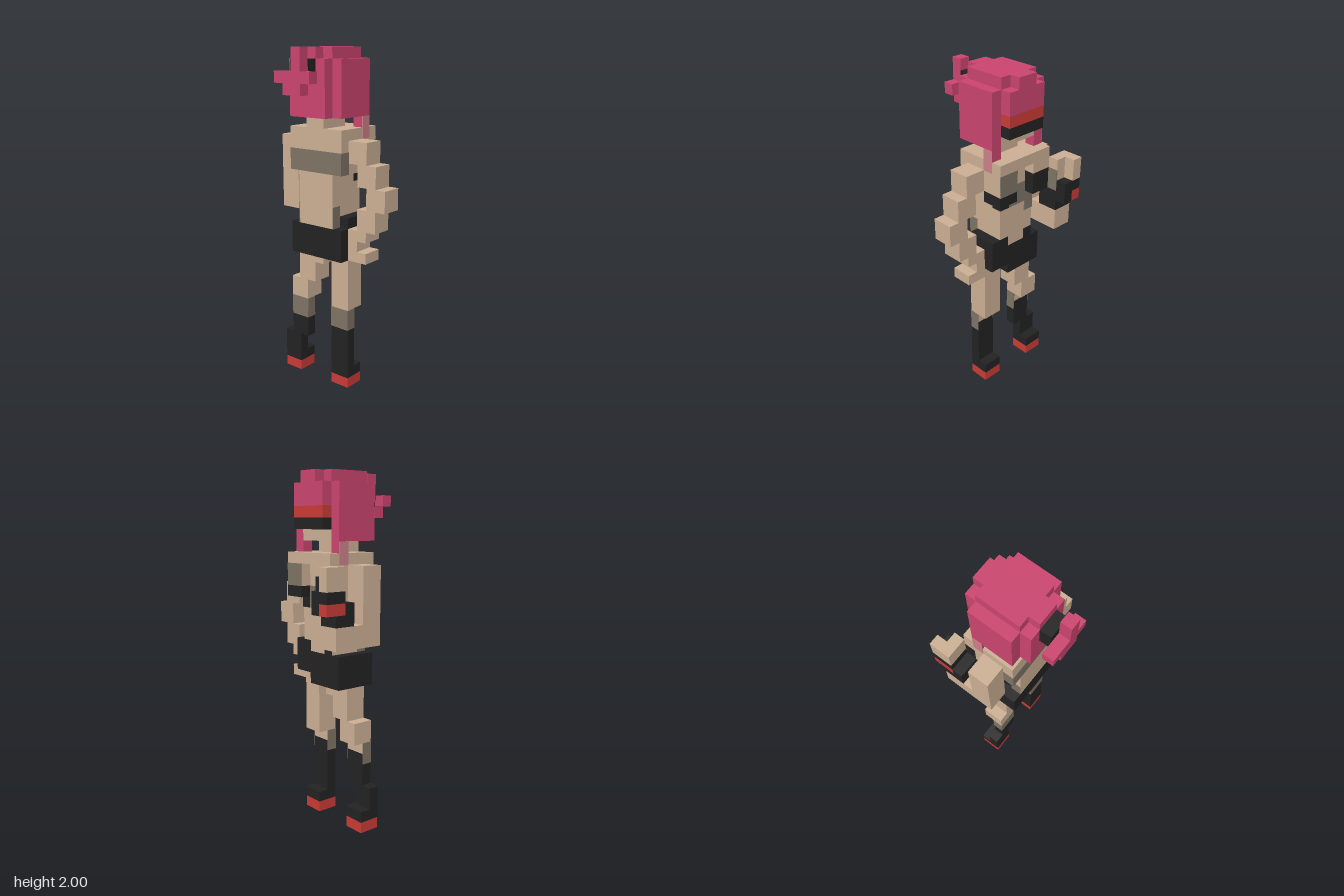
import * as THREE from 'three';

const U = 0.0625; // size of one block
const material = (name, color) => {
  const m = new THREE.MeshStandardMaterial({ color });
  m.name = name;
  return m;
};

export function createModel() {
  const skin = material('skin', 0xcaae93);
  const pink = material('hair pink', 0xc9446e);
  const black = material('black cloth', 0x222222);
  const red = material('red', 0xc83a36);
  const sheer = material('sheer grey', 0x7d7264);
  const pale = material('pale pink', 0xcb7f88);

  const model = new THREE.Group();
  model.name = 'figure';
  const part = (name) => {
    const g = new THREE.Group();
    g.name = name;
    model.add(g);
    return g;
  };
  // Box given by its ranges in blocks
  const box = (g, name, mat, [x0, x1], [y0, y1], [z0, z1]) => {
    const mesh = new THREE.Mesh(new THREE.BoxGeometry((x1 - x0) * U, (y1 - y0) * U, (z1 - z0) * U), mat);
    mesh.position.set((x0 + x1) / 2 * U, (y0 + y1) / 2 * U, (z0 + z1) / 2 * U);
    mesh.name = name;
    g.add(mesh);
  };
  const E = 0.04; // lift of thin painted plates

  // Straight leg
  const legA = part('straightLeg');
  box(legA, 'sole', red, [-1, 1], [0, 1], [0, 2]);
  box(legA, 'foot', black, [-1, 1], [1, 2], [0, 2]);
  box(legA, 'boot', black, [-1, 0], [2, 7], [0, 2]);
  box(legA, 'shin', skin, [-1, 0], [7, 8], [0, 2]);
  box(legA, 'thigh', skin, [-1, 1], [8, 14], [0, 2]);

  // Leg set out to the side
  const legB = part('outerLeg');
  box(legB, 'sole', red, [-1, 1], [0, 1], [-6, -4]);
  box(legB, 'foot', black, [-1, 1], [1, 2], [-6, -4]);
  box(legB, 'boot', black, [-1, 0], [2, 4], [-6, -4]);
  box(legB, 'bootTop', black, [-1, 0], [4, 7], [-5, -3]);
  box(legB, 'shin', skin, [-1, 0], [7, 8], [-5, -3]);
  box(legB, 'knee', skin, [-1, 1], [8, 10], [-5, -3]);
  box(legB, 'thigh', skin, [-1, 1], [10, 12], [-4, -2]);
  box(legB, 'upperThigh', skin, [-1, 1], [12, 13], [-4, -1]);

  // Sheer stocking tops on the sides and back of each shin
  for (const [g, z0, z1] of [[legA, 0, 2], [legB, -5, -3]]) {
    box(g, 'stockingSide', sheer, [-1, 0], [6, 8], [z1 - E, z1 + E]);
    box(g, 'stockingSide', sheer, [-1, 0], [6, 8], [z0 - E, z0 + E]);
    box(g, 'stockingBack', sheer, [-1 - E, -1 + E], [6, 8], [z0, z1]);
  }

  // Shorts
  const shorts = part('shorts');
  box(shorts, 'seat', black, [-2, 2], [13, 16], [-4, 0]);
  box(shorts, 'seatSide', black, [-2, 2], [14, 16], [0, 2]);
  box(shorts, 'hem', black, [-2, -1], [13, 14], [0, 2]);
  box(shorts, 'hem', black, [1, 1.9], [13.95, 14.5], [0, 2]);
  box(shorts, 'hip', black, [-1, 2], [16, 17], [0, 2]);
  box(shorts, 'hip', black, [-1, 2], [16, 17], [-3, -2]);

  // Torso
  const torso = part('torso');
  box(torso, 'waist', skin, [-2, 1.95], [16, 21], [-3, 1]);
  box(torso, 'chest', skin, [-2, 2], [21, 24], [-4, 2]);
  box(torso, 'shoulders', skin, [-2, 3], [24, 25], [-4, 2]);
  box(torso, 'bust', skin, [2, 3], [22, 24], [0, 2]);
  box(torso, 'bust', skin, [2, 3], [23, 24], [-4, -2]);
  box(torso, 'neck', skin, [-2, 1], [25, 26], [-2, 0]);

  // Top, with sheer bands
  const top = part('top');
  box(top, 'cup', black, [1, 3], [21, 22], [0, 2 + E]);
  box(top, 'cup', black, [2, 3], [21, 23], [-4, -2]);
  box(top, 'cupBase', black, [1, 2 + E], [20, 21], [0, 1 + E]);
  box(top, 'sheerCentre', sheer, [2 - E, 2 + E], [20, 22], [-2, 0]);
  box(top, 'sheerStrap', sheer, [2 - E, 2 + E], [19, 21], [-3, -2]);
  box(top, 'sheerCup', sheer, [3 - E, 3 + E], [22, 24], [0, 2]);
  box(top, 'backBand', sheer, [-2 - E, -2 + E], [21, 23], [-4, 2]);
  for (const z of [-4, 2]) box(top, 'sideBand', sheer, [-2, -1], [21, 23], [z - E, z + E]);
  for (const z of [-3, 1]) box(top, 'waistBand', sheer, [-2, -1], [16, 18], [z - E, z + E]);

  // Arm with the hand on the hip: [y range, z range]
  const armA = part('bentArm');
  for (const [y, z] of [
    [[22, 24], [2, 4]], [[20, 22], [3, 5]], [[18, 20], [4, 6]], [[16, 18], [3, 5]],
    [[15, 16], [2, 4]], [[14, 15], [2, 3]], [[13, 14], [2, 4]],
  ]) box(armA, 'armSegment', skin, [-1, 1], y, z);

  // Raised arm
  const armB = part('raisedArm');
  box(armB, 'upperArm', skin, [-1, 1], [17, 24], [-6, -4]);
  box(armB, 'forearm', skin, [1, 4], [17, 19], [-6, -4]);
  box(armB, 'glove', black, [2, 4], [19, 20], [-6, -4]);
  box(armB, 'wrist', black, [2, 3], [20, 21], [-6, -4]);
  box(armB, 'glovePalm', black, [3, 5], [20, 21], [-5, -4]);
  box(armB, 'gloveBack', red, [3, 5], [20, 21], [-6, -5]);
  box(armB, 'cuff', black, [3, 5], [21, 22], [-6, -4]);
  box(armB, 'hand', skin, [3, 4], [22, 24], [-6, -4]);
  box(armB, 'fingers', skin, [4, 5], [22, 24], [-6, -5]);
  box(armB, 'sheerWrist', sheer, [3, 4], [21, 23], [-4 - E, -4 + E]);

  // Head and visor
  const head = part('head');
  box(head, 'face', skin, [-2, 2], [26, 29], [-3, 1]);
  box(head, 'visor', black, [2, 3], [27, 28], [-3, 1]);
  box(head, 'visorTrim', red, [2, 3], [28, 29], [-3, 1]);

  // Hair
  const hair = part('hair');
  box(hair, 'crown', pink, [-2, 2], [29, 32], [-3, 1]);
  box(hair, 'crownRidge', pink, [-3, 3], [31, 32], [-2, 0]);
  box(hair, 'fringe', pink, [2, 3], [29, 31], [-3, 1]);
  box(hair, 'backHair', pink, [-3, -2], [26, 31], [-3, 1]);
  for (const [z0, z1, face] of [[1, 2, 2], [-4, -3, -4]]) {
    box(hair, 'sideHair', pink, [-2, 2], [26, 31], [z0, z1]);
    box(hair, 'lock', pink, [1, 2], [25, 26], [z0, z1]);
    box(hair, 'lockTip', pale, [1, 2], [24, 26], [face - E, face + E]);
  }

  // Tied tail of hair
  const tail = part('ponytail');
  box(tail, 'hairTie', black, [-4, -3], [29, 31], [-2, 0]);
  box(tail, 'tailBar', pink, [-5, -4], [29, 30], [-3, 1]);
  box(tail, 'tailUpper', pink, [-5, -4], [30, 32], [-1, 0]);
  box(tail, 'tailLower', pink, [-5, -4], [28, 29], [-2, 0]);

  return model;
}
